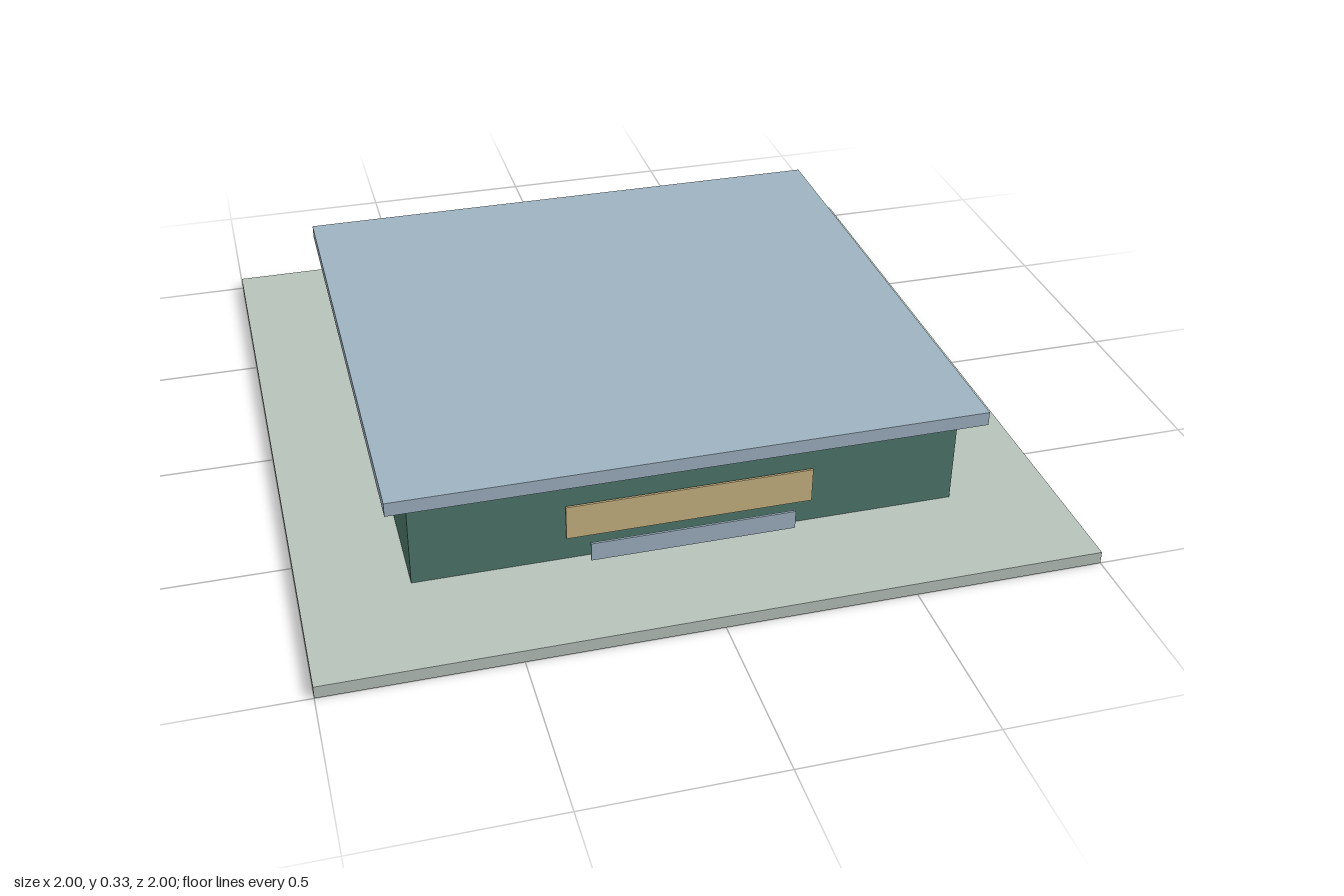
import * as THREE from 'three';

const flat = (name, color) => {
  const m = new THREE.MeshStandardMaterial({ color });
  m.name = name;
  return m;
};

export function createModel() {
  const model = new THREE.Group();
  model.name = 'pavilion';
  const stone = flat('pale stone', 0xb7c3bb);
  const green = flat('wall green', 0x4f786c);
  const blue = flat('roof blue', 0x9fb3c2);
  const tan = flat('sign tan', 0xcab584);

  // Box given by its size, the height of its underside and its centre
  const box = (name, mat, w, h, d, y, x = 0, z = 0) => {
    const mesh = new THREE.Mesh(new THREE.BoxGeometry(w, h, d), mat);
    mesh.name = name;
    mesh.position.set(x, y + h / 2, z);
    model.add(mesh);
    return mesh;
  };

  // Ground slab, walls and overhanging roof
  box('baseSlab', stone, 2, 0.034, 2, 0);
  box('walls', green, 1.44, 0.256, 1.356, 0.034);
  box('roof', blue, 1.556, 0.038, 1.47, 0.29);

  // Front sign panel and the low counter plate ahead of it
  box('signPanel', tan, 0.65, 0.096, 0.006, 0.104, 0, 0.687);
  box('counterPlate', blue, 0.54, 0.052, 0.006, 0.052, 0, 0.723);

  // Small plates under the eaves, one in the middle of each wall
  for (const s of [-1, 1]) {
    box('eavePlate', blue, 0.034, 0.03, 0.004, 0.26, 0, s * 0.679);
    box('eavePlate', blue, 0.004, 0.03, 0.034, 0.26, s * 0.721, 0);
  }
  return model;
}
